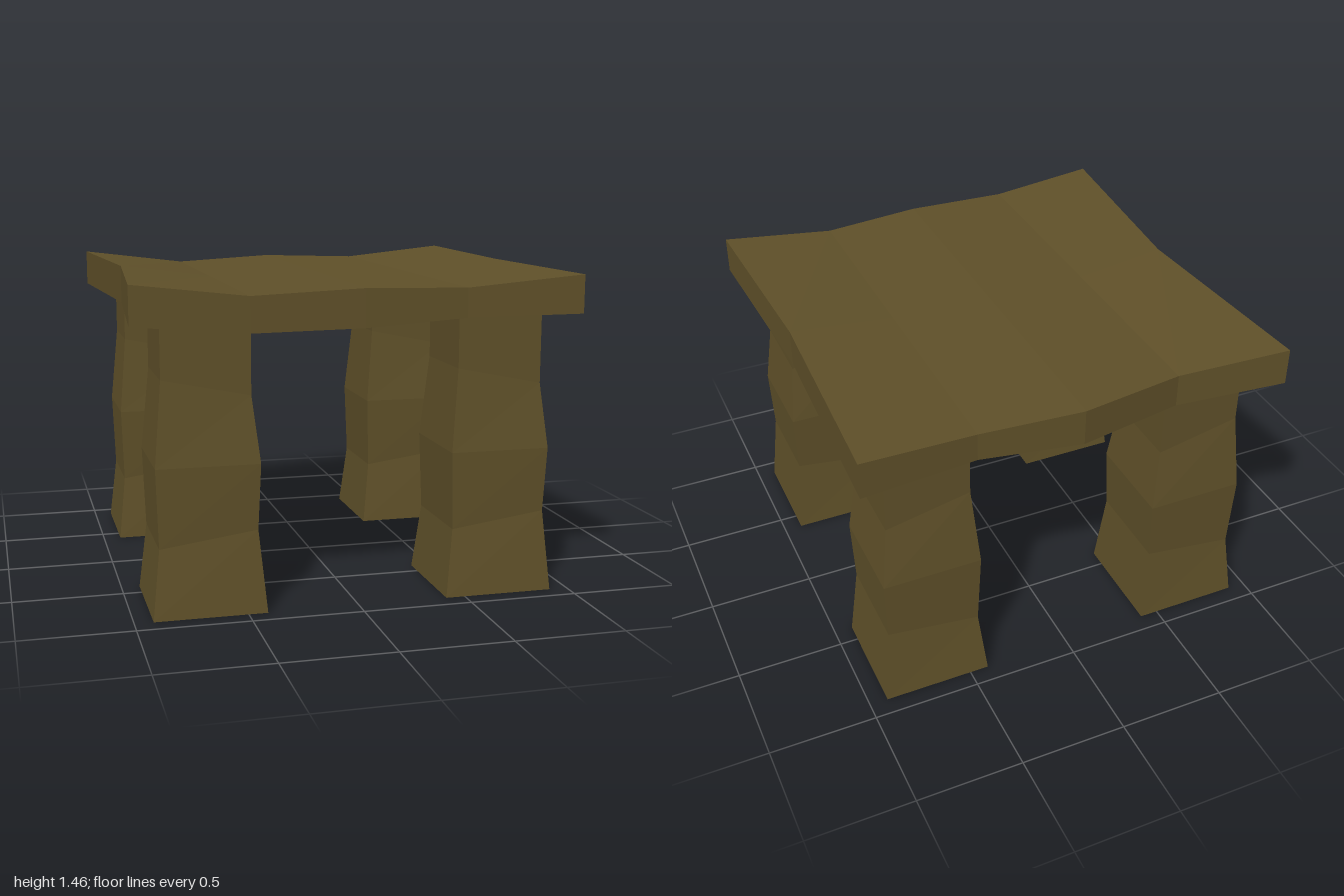
import * as THREE from 'three';

const wood = new THREE.MeshStandardMaterial({ color: 0x5f5029, flatShading: true });

// Moves every vertex of a geometry by a rule that returns the new [x, y, z].
function reshape(geometry, rule) {
  const p = geometry.attributes.position;
  for (let i = 0; i < p.count; i++) p.setXYZ(i, ...rule(p.getX(i), p.getY(i), p.getZ(i)));
  geometry.computeVertexNormals();
  return geometry;
}

// Warped slab: five stations across x, three rows along z.
function createTabletop() {
  const xs = [-1, -0.5, 0, 0.47, 1];
  const upper = [1.457, 1.4, 1.42, 1.408, 1.457];
  const lower = [1.284, 1.244, 1.25, 1.277, 1.284];
  const back = [-1, -0.905, -1, -0.95, -1];
  const front = [0.987, 0.997, 0.987, 0.955, 0.987];
  const geometry = reshape(new THREE.BoxGeometry(4, 2, 2, 4, 1, 2), (x, y, z) => {
    const i = Math.round(x) + 2;
    const middle = Math.round(z) === 0;
    let px = xs[i];
    if (middle && i === 0) px = -0.925;
    if (middle && i === 4) px = 0.96;
    return [px, (y > 0 ? upper : lower)[i], middle ? 0.03 : z > 0 ? front[i] : back[i]];
  });
  const top = new THREE.Mesh(geometry, wood);
  top.name = 'tabletop';
  return top;
}

// Rough-hewn square leg: five rings, the inner ones tilted along x.
function createLegGeometry() {
  const half = [0.2515, 0.217, 0.229, 0.195, 0.195];
  const leftY = [0, 0.31, 0.665, 1.04, 1.3];
  const rightY = [0, 0.37, 0.665, 0.96, 1.3];
  return reshape(new THREE.BoxGeometry(2, 4, 2, 1, 4, 1), (x, y, z) => {
    const i = Math.round(y) + 2;
    return [x * half[i], (x < 0 ? leftY : rightY)[i], z * half[i]];
  });
}

export function createModel() {
  const table = new THREE.Group();
  table.name = 'table';
  table.add(createTabletop());

  const legGeometry = createLegGeometry();
  for (const [zName, z] of [['front', 0.663], ['back', -0.667]]) {
    for (const [xName, x] of [['Left', 0.663], ['Right', -0.665]]) {
      const leg = new THREE.Mesh(legGeometry, wood);
      leg.name = `${zName}${xName}Leg`;
      leg.position.set(x, 0, z);
      table.add(leg);
    }
  }
  return table;
}
